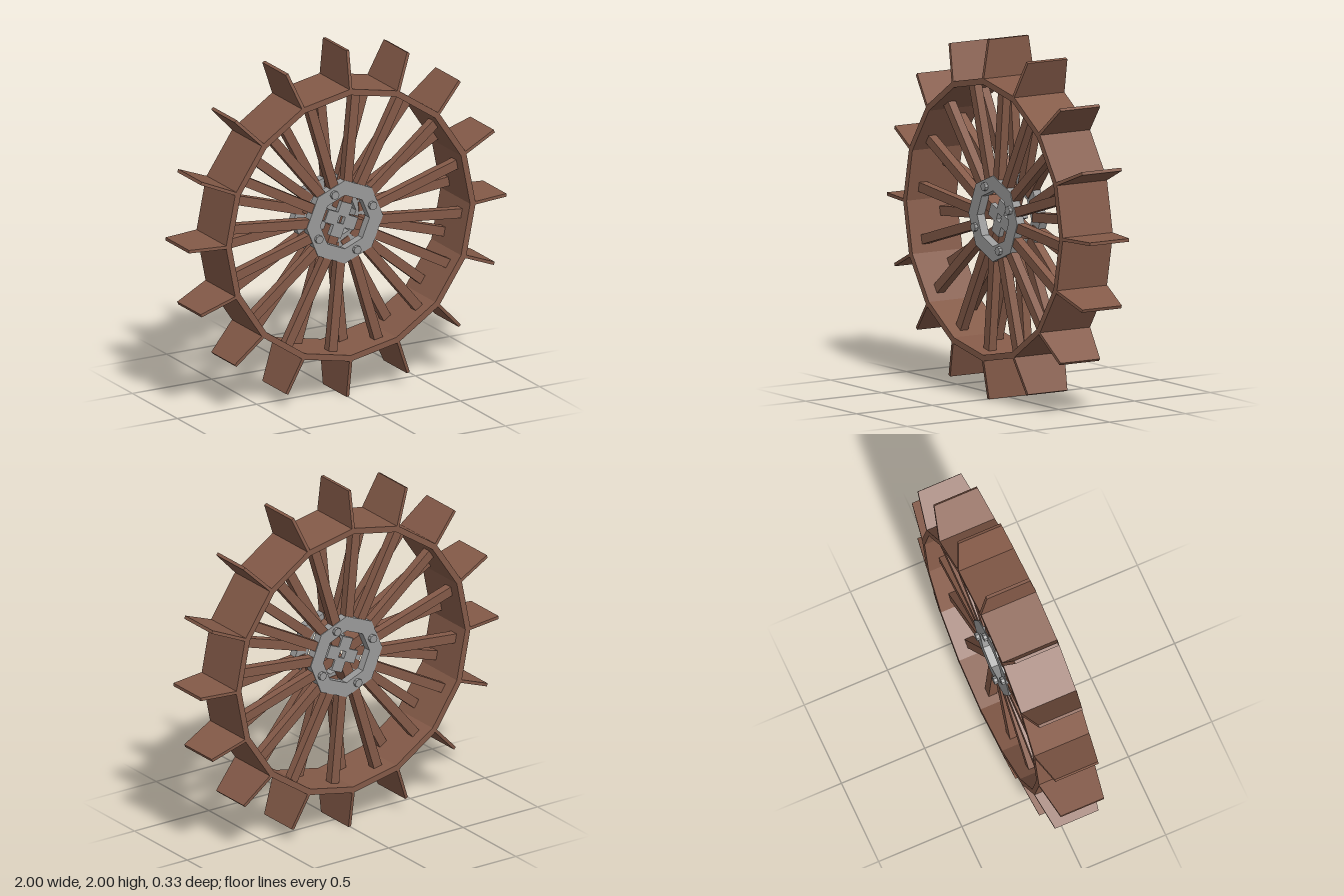
import * as THREE from 'three';

const wood = new THREE.MeshStandardMaterial({ color: 0x845a48, flatShading: true });
const metal = new THREE.MeshStandardMaterial({ color: 0x9a9a9a, flatShading: true });
const SIDES = 16;
const STEP = (Math.PI * 2) / SIDES;

function add(parent, name, geometry, material) {
  const mesh = new THREE.Mesh(geometry, material);
  mesh.name = name;
  parent.add(mesh);
  return mesh;
}

function polygon(radius, sides, PathType = THREE.Shape) {
  const points = [];
  for (let i = 0; i < sides; i++) {
    const a = (i / sides) * Math.PI * 2;
    points.push(new THREE.Vector2(radius * Math.cos(a), radius * Math.sin(a)));
  }
  return new PathType(points);
}

// Flat plate spanning z0 to z1
function plate(shape, z0, z1) {
  return new THREE.ExtrudeGeometry(shape, { depth: z1 - z0, bevelEnabled: false }).translate(0, 0, z0);
}

function polygonRing(outer, inner, sides, z0, z1) {
  const shape = polygon(outer, sides);
  shape.holes.push(polygon(inner, sides, THREE.Path));
  return plate(shape, z0, z1);
}

// Radial bar along +x, running from r0 to r1
function bar(r0, r1, width, depth, z) {
  return new THREE.BoxGeometry(r1 - r0, width, depth).translate((r0 + r1) / 2, 0, z);
}

// Paddle blade: full width at the rim, narrower at the tip
function paddleGeometry() {
  const outline = new THREE.Shape([
    new THREE.Vector2(0.765, -0.165), new THREE.Vector2(0.79, -0.165), new THREE.Vector2(1, -0.13),
    new THREE.Vector2(1, 0.13), new THREE.Vector2(0.79, 0.165), new THREE.Vector2(0.765, 0.165),
  ]);
  return plate(outline, -0.009, 0.009).rotateX(Math.PI / 2);
}

// Plus-shaped axle socket with a square hole
function socketGeometry() {
  const a = 0.1, b = 0.037, h = 0.02;
  const shape = new THREE.Shape([
    [a, -b], [a, b], [b, b], [b, a], [-b, a], [-b, b],
    [-a, b], [-a, -b], [-b, -b], [-b, -a], [b, -a], [b, -b],
  ].map(([x, y]) => new THREE.Vector2(x, y)));
  shape.holes.push(new THREE.Path(
    [[-h, -h], [-h, h], [h, h], [h, -h]].map(([x, y]) => new THREE.Vector2(x, y))));
  return plate(shape, 0.03, 0.06);
}

// One face of the wheel: spokes, hub plate, bolts and socket
function createSide() {
  const side = new THREE.Group();
  const spoke = bar(0.17, 0.76, 0.053, 0.05, 0.07);
  for (let i = 0; i < SIDES; i++) {
    add(side, 'spoke', spoke, wood).rotation.z = (i - 0.25) * STEP;
  }
  add(side, 'hubPlate', polygonRing(0.24, 0.155, 8, 0.05, 0.1), metal);
  const bolt = new THREE.CylinderGeometry(0.024, 0.024, 0.03, 8).rotateX(Math.PI / 2);
  for (let i = 0; i < 4; i++) {
    const a = Math.PI / 8 + (i * Math.PI) / 2;
    add(side, 'bolt', bolt, metal).position.set(0.183 * Math.cos(a), 0.183 * Math.sin(a), 0.104);
  }
  add(side, 'axleSocket', socketGeometry(), metal).rotation.z = -Math.PI / 8;
  return side;
}

export function createModel() {
  const wheel = new THREE.Group();
  wheel.name = 'waterWheel';

  // Sixteen-sided rim with a paddle at each corner
  add(wheel, 'rim', polygonRing(0.787, 0.752, SIDES, -0.165, 0.165), wood);
  const paddle = paddleGeometry();
  for (let i = 0; i < SIDES; i++) {
    add(wheel, 'paddle', paddle, wood).rotation.z = i * STEP;
  }

  // Matching front and back faces
  const front = createSide();
  front.name = 'frontSide';
  const back = createSide();
  back.name = 'backSide';
  back.rotation.y = Math.PI;
  wheel.add(front, back);

  // Wooden cross bars inside the hub
  const crossBar = bar(0.05, 0.19, 0.06, 0.1, 0);
  for (let i = 0; i < 4; i++) {
    add(wheel, 'hubCrossBar', crossBar, wood).rotation.z = -Math.PI / 8 + (i * Math.PI) / 2;
  }

  wheel.position.y = 1;
  const model = new THREE.Group();
  model.add(wheel);
  return model;
}
